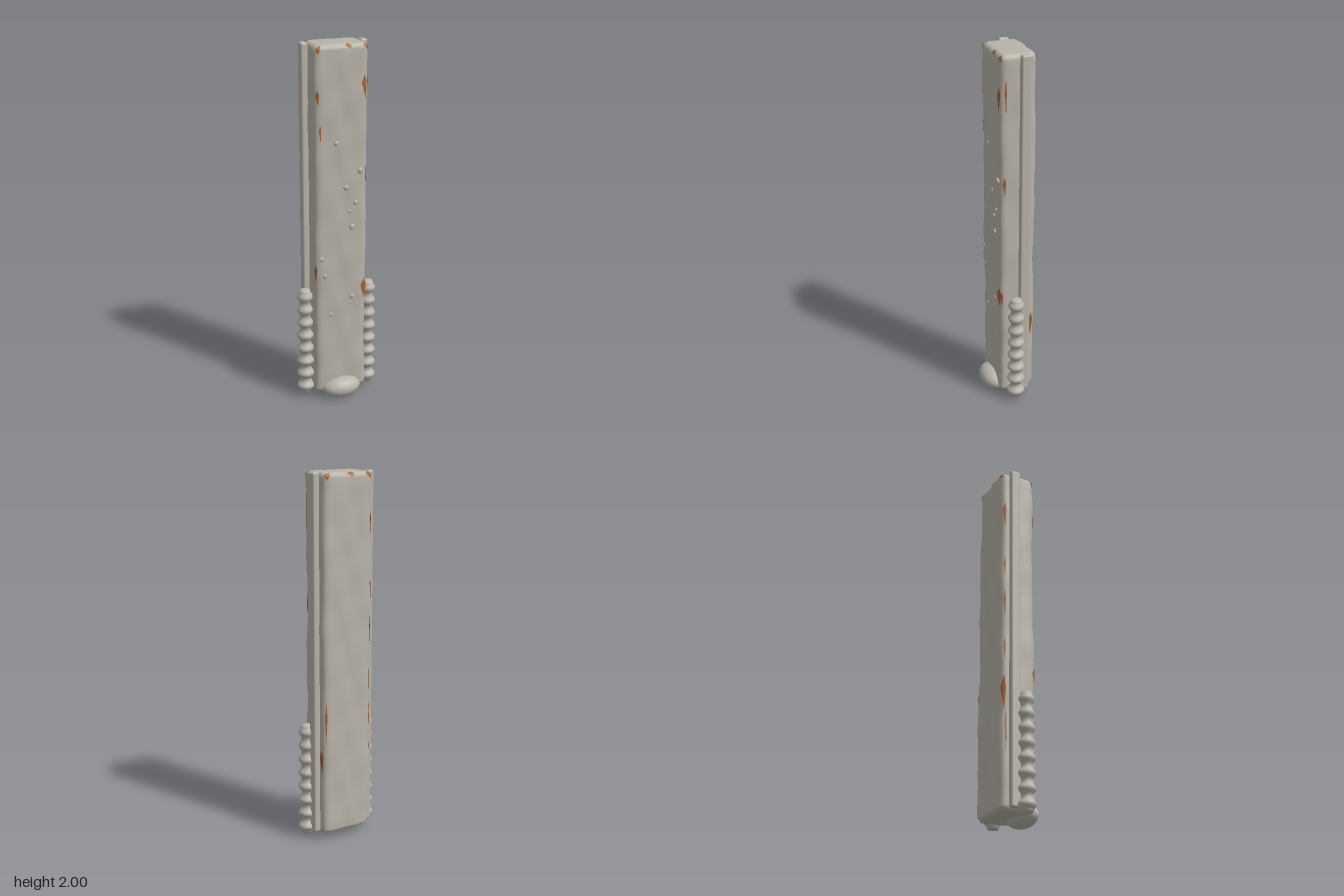
import * as THREE from 'three';
import { RoundedBoxGeometry } from 'three/addons/geometries/RoundedBoxGeometry.js';

const HW = 0.146, HD = 0.099, ZC = -0.033, Y0 = 0.04, Y1 = 1.995, ROUND = 0.028;

// Point on the slab's wavy, rounded surface at an angle around it and a height
function surface(a, y, lift = 0) {
  const c = Math.cos(a), s = Math.sin(a), n = 9;
  const d = Math.max(0, Math.min(y - Y0, Y1 - y));
  const inset = d < ROUND ? ROUND - Math.sqrt(ROUND ** 2 - (ROUND - d) ** 2) : 0;
  const wave = 0.002 * Math.sin(3 * a + 7 * y) + 0.0015 * Math.sin(5 * a - 13 * y) + 0.001 * Math.sin(2 * a + 29 * y);
  const grow = wave - inset + lift;
  const r = (Math.abs(c / (HW + grow)) ** n + Math.abs(s / (HD + grow)) ** n) ** (-1 / n);
  return [r * c, y, ZC + r * s];
}

function slabGeometry() {
  const N = 72, pos = [], idx = [], heights = [];
  for (let i = 0; i <= 4; i++) heights.push(Y0 + ROUND * (1 - Math.cos(i / 4 * Math.PI / 2)));
  for (let i = 1; i < 50; i++) heights.push(Y0 + ROUND + (Y1 - Y0 - 2 * ROUND) * i / 50);
  for (let i = 4; i >= 0; i--) heights.push(Y1 - ROUND * (1 - Math.cos(i / 4 * Math.PI / 2)));
  for (const y of heights) for (let j = 0; j < N; j++) pos.push(...surface(j / N * Math.PI * 2, y));
  for (let i = 0; i < heights.length - 1; i++) for (let j = 0; j < N; j++) {
    const a = i * N + j, b = i * N + (j + 1) % N;
    idx.push(a, a + N, b, b, a + N, b + N);
  }
  // end caps
  const bottom = pos.length / 3, top = bottom + 1, last = (heights.length - 1) * N;
  pos.push(0, Y0, ZC, 0, Y1, ZC);
  for (let j = 0; j < N; j++) {
    const k = (j + 1) % N;
    idx.push(bottom, j, k, top, last + k, last + j);
  }
  const g = new THREE.BufferGeometry();
  g.setAttribute('position', new THREE.Float32BufferAttribute(pos, 3));
  g.setIndex(idx);
  g.computeVertexNormals();
  return g;
}

// Tapered flake of rust lying on the slab near (x, z)
function flakeGeometry([x, z, y, height, width]) {
  const a = Math.atan2(z - ZC, x), steps = 12, pos = [], idx = [];
  for (let i = 0; i <= steps; i++) {
    const t = i / steps, yy = y + (t - 0.5) * height;
    const w = width / 0.17 * Math.min(t / 0.65, (1 - t) / 0.35) / 2;
    for (let j = 0; j <= 4; j++) pos.push(...surface(a + w * (j / 2 - 1) + w * 0.3, yy, 0.0025));
    if (i) for (let j = 0; j < 4; j++) {
      const q = i * 5 + j;
      idx.push(q - 5, q, q - 4, q - 4, q, q + 1);
    }
  }
  const g = new THREE.BufferGeometry();
  g.setAttribute('position', new THREE.Float32BufferAttribute(pos, 3));
  g.setIndex(idx);
  g.computeVertexNormals();
  return g;
}

export function createModel() {
  const model = new THREE.Group();
  const stone = new THREE.MeshStandardMaterial({ color: 0xb8b3a8 });
  stone.name = 'pale grey';
  const rust = new THREE.MeshStandardMaterial({ color: 0xa4622f, side: THREE.DoubleSide });
  rust.name = 'rust brown';
  const add = (name, geo, mat, x = 0, y = 0, z = 0) => {
    const m = new THREE.Mesh(geo, mat);
    m.name = name;
    m.position.set(x, y, z);
    model.add(m);
    return m;
  };

  add('slab', slabGeometry(), stone);

  // Beaded column profile, thinning slightly upward
  const profile = [new THREE.Vector2(0, 0.025)];
  const beads = 8, pitch = 0.078;
  for (let i = 0; i <= beads * 8; i++) {
    const t = i / 8, bump = (0.5 - 0.5 * Math.cos(t * Math.PI * 2)) ** 1.3;
    profile.push(new THREE.Vector2(0.029 + (0.021 - t * 0.0008) * bump, 0.028 + t * pitch));
  }
  profile.push(new THREE.Vector2(0.018, 0.655), new THREE.Vector2(0, 0.657));
  const column = new THREE.LatheGeometry(profile, 20);
  const rail = new RoundedBoxGeometry(0.038, 1.945, 0.056, 3, 0.011);
  for (const [side, s] of [['left', 1], ['right', -1]]) {
    add(side + 'Rail', rail, stone, s * 0.163, 1.0225, -0.063);
    add(side + 'BeadedColumn', column, stone, s * 0.185, 0, -0.011);
  }

  // Swollen foot at the front
  add('foot', new THREE.SphereGeometry(1, 20, 14), stone, 0, 0.06, 0.06).scale.set(0.112, 0.06, 0.075);

  // Small blisters on the front face: x, y, radius
  const blisters = [
    [-0.03, 1.485, 0.013], [0.105, 1.325, 0.016], [0.025, 1.24, 0.015], [0.08, 1.15, 0.012],
    [0.045, 1.105, 0.01], [0.06, 1.015, 0.015], [-0.115, 0.85, 0.012], [-0.095, 0.75, 0.013],
    [0.06, 0.61, 0.015], [0.05, 0.57, 0.007], [-0.06, 0.515, 0.01],
  ];
  const ball = new THREE.SphereGeometry(1, 12, 8);
  for (const [x, y, r] of blisters) add('blister', ball, stone, x, y, 0.065).scale.set(r, r * 1.1, r * 0.7);

  // Rust along the edges: x, z, y, height, width
  const flakes = [
    [-0.127, 0.064, 1.73, 0.08, 0.02], [-0.118, 0.066, 1.54, 0.1, 0.01], [0.125, 0.064, 1.77, 0.13, 0.025],
    [0.144, 0.04, 1.3, 0.11, 0.02], [-0.138, 0.055, 0.77, 0.1, 0.022], [0.127, 0.064, 0.65, 0.12, 0.03],
    [0.146, 0.035, 1.78, 0.2, 0.012], [0.142, 0.056, 0.64, 0.1, 0.02], [0.144, -0.108, 0.46, 0.14, 0.03],
    [0.13, -0.13, 0.68, 0.24, 0.012],
    [-0.144, -0.112, 1.72, 0.16, 0.02], [-0.144, -0.112, 1.38, 0.13, 0.014], [-0.144, -0.112, 1.16, 0.18, 0.014],
    [-0.144, -0.112, 0.9, 0.14, 0.014], [-0.142, -0.115, 0.65, 0.2, 0.03], [-0.144, -0.105, 0.45, 0.25, 0.012],
    [-0.13, -0.125, 1.975, 0.036, 0.04], [0.12, -0.128, 1.975, 0.036, 0.035], [-0.12, 0.06, 1.97, 0.045, 0.025],
    [0.13, 0.055, 1.975, 0.036, 0.025], [-0.02, -0.13, 1.982, 0.024, 0.08], [0.045, 0.065, 1.982, 0.024, 0.06],
  ];
  for (const f of flakes) add('rustFlake', flakeGeometry(f), rust);

  return model;
}
